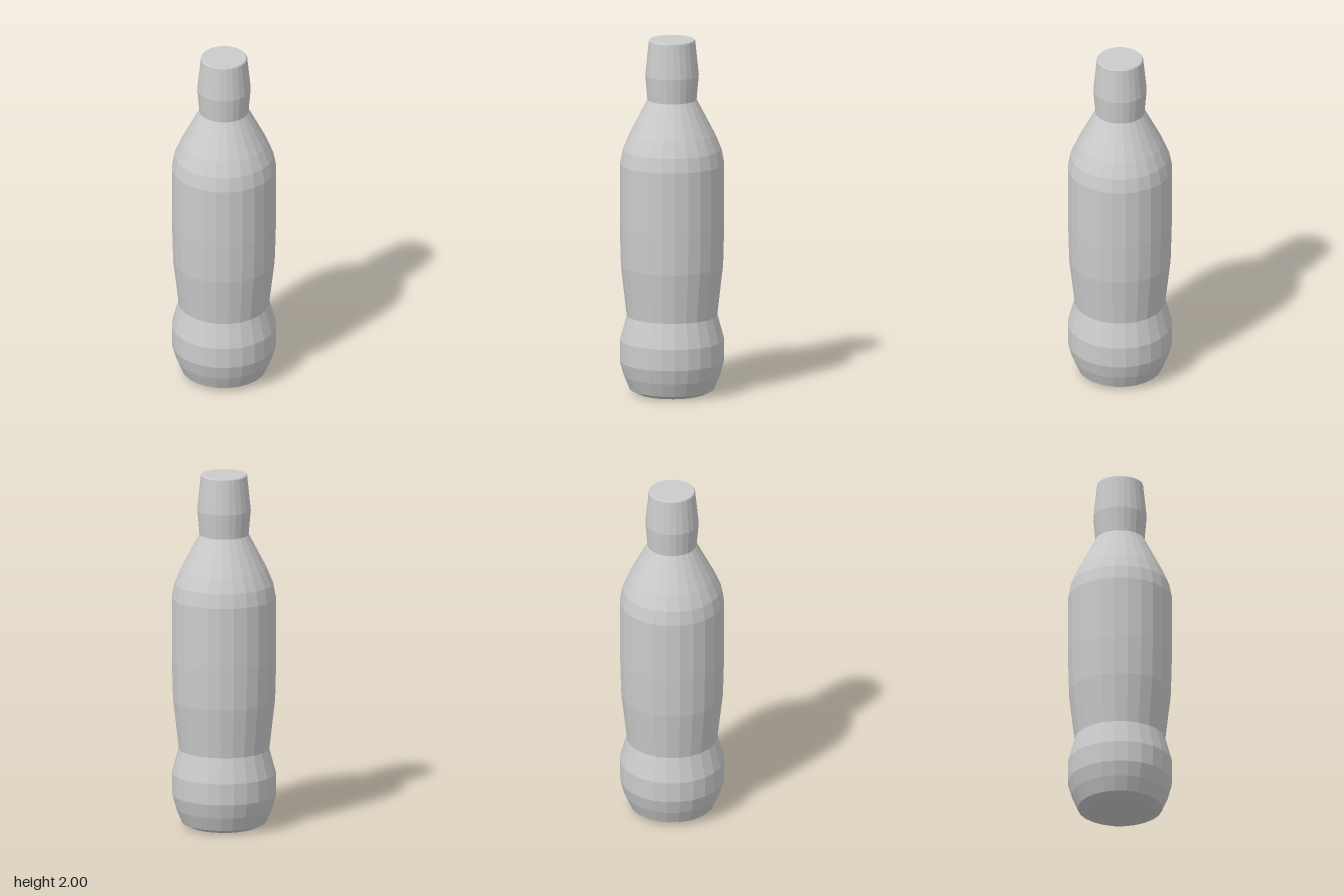
import * as THREE from 'three';

const SIDES = 24;

// Profiles run upward as [radius, height]; neighbours share their end ring.
const SECTIONS = {
  base: [[0, 0], [0.19, 0], [0.235, 0.022], [0.268, 0.1], [0.29, 0.18], [0.29, 0.3], [0.252, 0.44]],
  body: [[0.252, 0.44], [0.284, 0.72], [0.29, 0.95], [0.29, 1.3]],
  shoulder: [[0.29, 1.3], [0.274, 1.38], [0.238, 1.465], [0.137, 1.66]],
  neck: [[0.137, 1.66], [0.149, 1.8], [0.129, 1.994]],
  top: [[0.129, 1.994], [0.124, 2], [0, 2]],
};

export function createModel() {
  const bottle = new THREE.Group();
  bottle.name = 'bottle';
  const material = new THREE.MeshStandardMaterial({ color: 0xcccccc, flatShading: true });

  // One faceted, turned surface per section
  for (const [name, profile] of Object.entries(SECTIONS)) {
    const points = profile.map(([r, y]) => new THREE.Vector2(r, y));
    const mesh = new THREE.Mesh(new THREE.LatheGeometry(points, SIDES), material);
    mesh.name = name;
    bottle.add(mesh);
  }
  return bottle;
}
